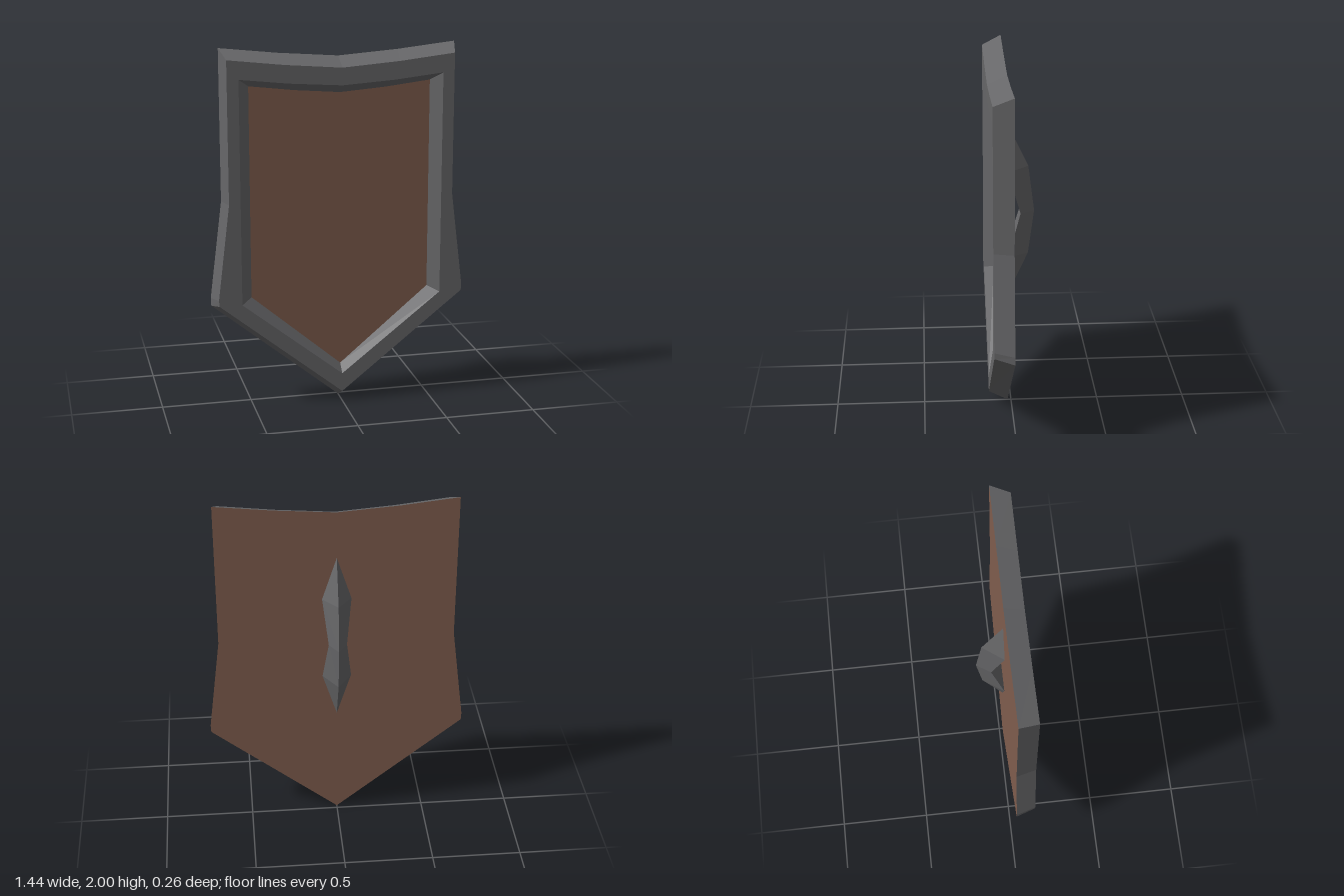
import * as THREE from 'three';

const BACK = 0.02, FRONT = 0.128, PANEL = 0.073;

// Mirrors a half outline (top centre, down the +x side, to the tip) into a closed ring
function ring(half, z) {
  const mirrored = half.slice(1, -1).reverse().map(([x, y]) => [-x, y]);
  return [...half, ...mirrored].map(([x, y]) => new THREE.Vector3(x, y, z));
}

// Joins successive closed rings of equal length with flat faces
function loft(rings) {
  const pos = [];
  const tri = (...pts) => pts.forEach((p) => pos.push(p.x, p.y, p.z));
  for (let r = 0; r < rings.length - 1; r++) {
    const a = rings[r], b = rings[r + 1], n = a.length;
    for (let i = 0; i < n; i++) {
      const j = (i + 1) % n;
      if (!a[i].equals(b[i]) && !b[i].equals(b[j])) tri(a[i], b[i], b[j]);
      if (!a[i].equals(a[j])) tri(a[i], b[j], a[j]);
    }
  }
  const geo = new THREE.BufferGeometry();
  geo.setAttribute('position', new THREE.Float32BufferAttribute(pos, 3));
  geo.computeVertexNormals();
  return geo;
}

export function createModel() {
  const steel = new THREE.MeshStandardMaterial({ name: 'grey steel', color: 0x676769 });
  const wood = new THREE.MeshStandardMaterial({ name: 'brown wood', color: 0x805e4e });
  const group = new THREE.Group();
  group.name = 'shield';
  const add = (name, geo, mat) => {
    const mesh = new THREE.Mesh(geo, mat);
    mesh.name = name;
    group.add(mesh);
    return mesh;
  };

  // Half outlines: top centre, top middle, top corner, waist, hip, hip corner, tip
  const outerBack = ring([[0, 1.94], [0.33, 1.965], [0.65, 2], [0.65, 1.17], [0.718, 0.625], [0.716, 0.58], [0, 0]], BACK);
  const outerFront = ring([[0, 1.89], [0.315, 1.915], [0.623, 1.95], [0.623, 1.17], [0.688, 0.64], [0.685, 0.605], [0, 0.057]], FRONT);
  const innerFront = ring([[0, 1.795], [0.29, 1.815], [0.56, 1.845], [0.56, 1.17], [0.56, 0.64], [0.56, 0.605], [0, 0.163]], FRONT);
  const innerPanel = ring([[0, 1.75], [0.25, 1.77], [0.5, 1.8], [0.5, 1.17], [0.5, 0.66], [0.5, 0.63], [0, 0.207]], PANEL);

  // Metal rim: outer bevel, flat front band, inner bevel
  add('rim', loft([outerBack, outerFront, innerFront, innerPanel]), steel);

  // Wooden faces
  const face = (pts) => new THREE.ShapeGeometry(new THREE.Shape(pts.map((p) => new THREE.Vector2(p.x, p.y))));
  add('frontPanel', face(innerPanel), wood).position.z = PANEL;
  const back = add('backPanel', face(outerBack), wood);
  back.rotation.y = Math.PI;
  back.position.z = BACK;

  // Triangular grip, pointed at both ends: [half width, side y, side z, ridge y, ridge z]
  const stations = [
    [0, 1.67, BACK, 1.67, BACK],
    [0.08, 1.42, BACK, 1.43, -0.095],
    [0.05, 1.17, -0.05, 1.17, -0.128],
    [0.08, 0.925, BACK, 0.92, -0.095],
    [0, 0.67, BACK, 0.67, BACK],
  ];
  const sections = stations.map(([w, y, z, ry, rz]) => [
    new THREE.Vector3(w, y, z),
    new THREE.Vector3(0, ry, rz),
    new THREE.Vector3(-w, y, z),
  ]);
  add('handle', loft(sections), steel);

  return group;
}
